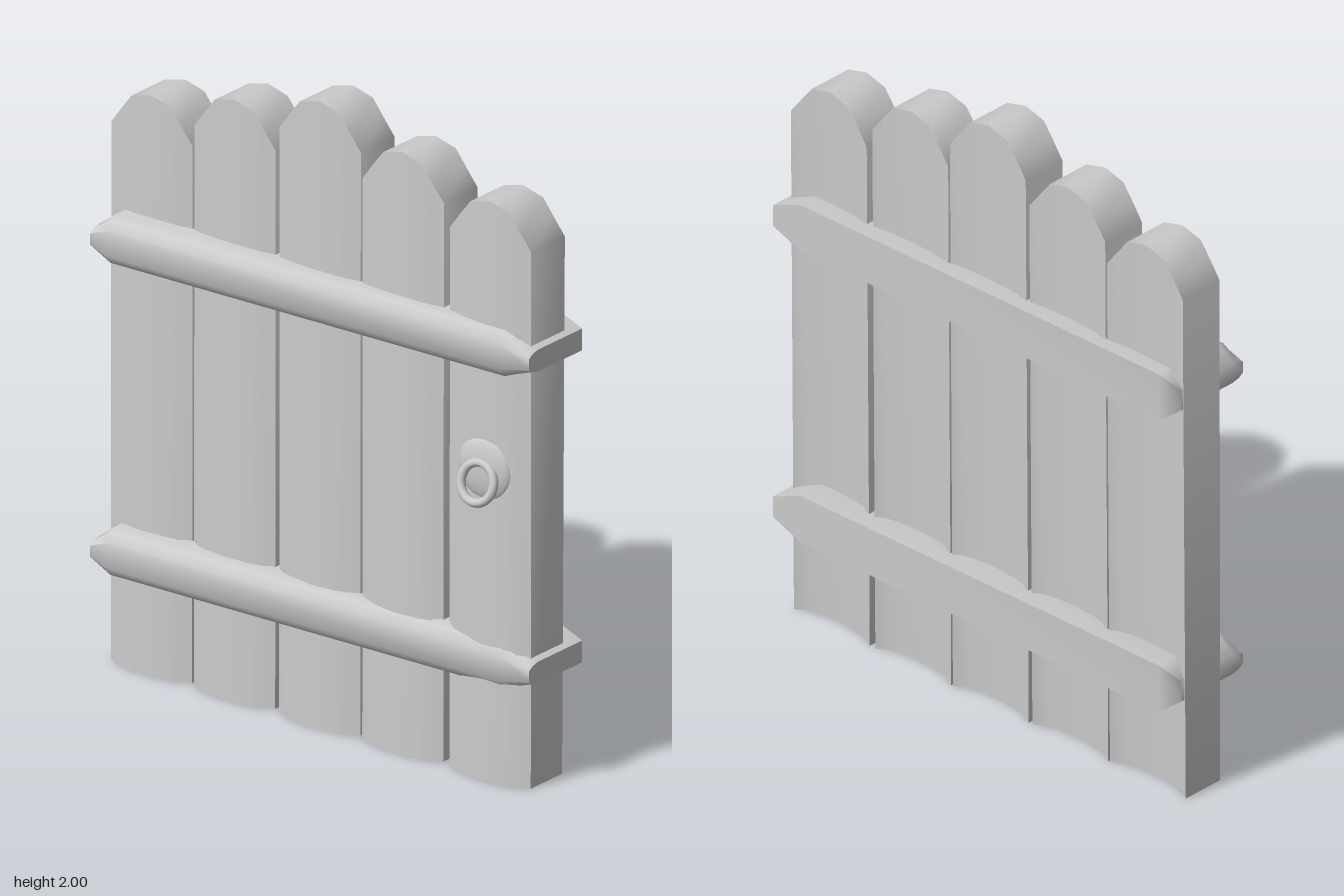
import * as THREE from 'three';
import { toCreasedNormals } from 'three/addons/utils/BufferGeometryUtils.js';

const material = new THREE.MeshStandardMaterial({ color: 0xcccccc });

function addMesh(parent, name, geometry) {
  const mesh = new THREE.Mesh(geometry, material);
  mesh.name = name;
  parent.add(mesh);
  return mesh;
}

// Solid through closed loops of [x, y, z], ordered towards +x,
// each loop counter-clockwise as seen from +x.
function loft(loops, crease) {
  const n = loops[0].length;
  const last = (loops.length - 1) * n;
  const index = [];
  for (let i = 0; i < loops.length - 1; i++) {
    for (let j = 0; j < n; j++) {
      const a = i * n + j, b = i * n + (j + 1) % n;
      index.push(a, b, b + n, a, b + n, a + n);
    }
  }
  for (let j = 1; j < n - 1; j++) {
    index.push(0, j + 1, j, last, last + j, last + j + 1);
  }
  const geometry = new THREE.BufferGeometry();
  geometry.setAttribute('position', new THREE.Float32BufferAttribute(loops.flat(2), 3));
  geometry.setIndex(index);
  return toCreasedNormals(geometry, crease);
}

// Plank: faceted round top, front and back bowed forward more towards the foot
function plankGeometry(height) {
  // across the width: x, drop of the top edge, forward bow at the foot
  const half = [[0.155, 0.125, 0], [0.115, 0.072, 0.025], [0.075, 0.02, 0.034]];
  const columns = [
    ...half.map(([x, drop, bow]) => [-x, drop, bow]),
    [0, 0, 0.04],
    ...half.slice().reverse(),
  ];
  const loops = columns.map(([x, drop, bow]) => {
    const top = height - drop;
    return [
      [x, 0, 0.055 + bow],
      [x, 0, -0.093 + bow],
      [x, top, -0.106 + bow * 0.1],
      [x, top, 0.053 + bow * 0.1],
    ];
  });
  return loft(loops, 0.8);
}

// Rail: passes through all planks, tapers at both ends, rounded at the front
function railGeometry() {
  // x, half height, front z, back z
  const stations = [
    [-0.81, 0.035, 0.157, -0.11],
    [-0.75, 0.08, 0.154, -0.145],
    [0.7, 0.08, 0.095, -0.16],
    [0.81, 0.035, 0.088, -0.163],
  ];
  const loops = stations.map(([x, h, front, back]) => [
    [x, -h * 0.5, front],
    [x, -h * 0.85, front - 0.02],
    [x, -h, front - 0.045],
    [x, -h, back],
    [x, h, back],
    [x, h, front - 0.045],
    [x, h * 0.85, front - 0.02],
    [x, h * 0.5, front],
  ]);
  return loft(loops, 1.05);
}

export function createModel() {
  const gate = new THREE.Group();
  gate.name = 'gate';

  // Five upright planks, tallest in the middle
  const planks = [[-0.657, 1.85], [-0.34, 1.92], [-0.015, 2], [0.302, 1.92], [0.635, 1.85]];
  planks.forEach(([x, height], i) => {
    addMesh(gate, `plank${i + 1}`, plankGeometry(height)).position.x = x;
  });

  // Two cross rails
  addMesh(gate, 'lowerRail', railGeometry()).position.y = 0.376;
  addMesh(gate, 'upperRail', railGeometry()).position.y = 1.38;

  // Round back plate and tilted pull ring
  const handle = new THREE.Group();
  handle.name = 'handle';
  handle.position.set(0.625, 0.99, 0.065);
  gate.add(handle);
  const plate = addMesh(handle, 'handlePlate', new THREE.SphereGeometry(0.1, 24, 12));
  plate.scale.z = 0.27;
  const ring = addMesh(handle, 'handleRing', new THREE.TorusGeometry(0.061, 0.014, 10, 28));
  ring.position.set(0, -0.033, 0.038);
  ring.rotation.x = -0.3;

  return gate;
}
